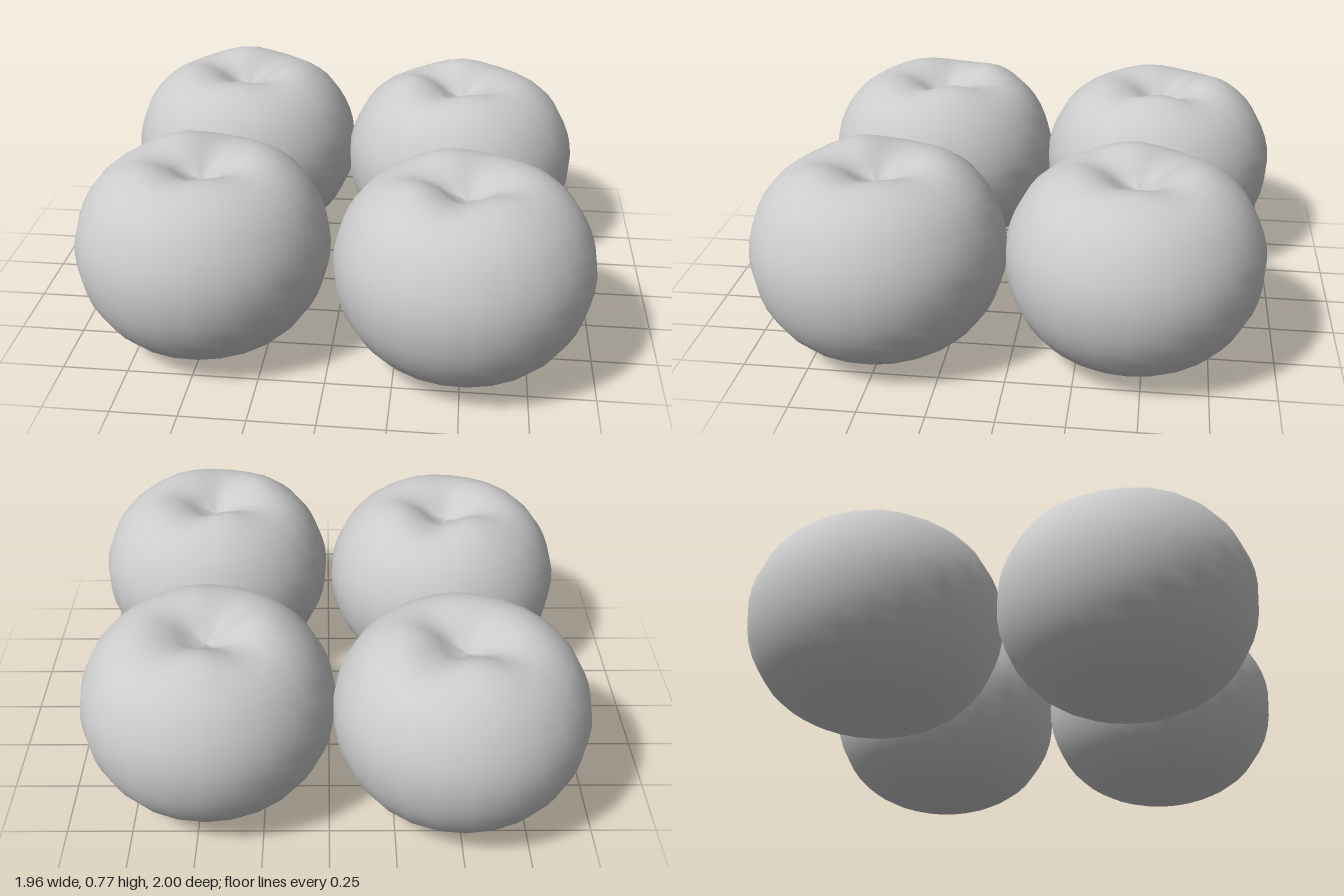
import * as THREE from 'three';
import { mergeVertices } from 'three/addons/utils/BufferGeometryUtils.js';

// Squat round fruit: a lathed profile with a top dimple and a softly lobed rim.
function fruitGeometry() {
  const profile = new THREE.SplineCurve([
    [0, 0.005], [0.12, 0.008], [0.25, 0.045], [0.37, 0.125], [0.455, 0.255],
    [0.486, 0.4], [0.468, 0.53], [0.405, 0.652], [0.315, 0.73], [0.22, 0.757],
    [0.13, 0.737], [0.06, 0.695], [0, 0.675],
  ].map(([r, y]) => new THREE.Vector2(r, y)));
  const points = profile.getPoints(30);
  points.forEach((p) => { p.x = Math.max(p.x, 0); });
  points[0].x = points[points.length - 1].x = 0;

  let geometry = new THREE.LatheGeometry(points, 24);
  const pos = geometry.attributes.position;
  for (let i = 0; i < pos.count; i++) {
    const x = pos.getX(i), y = pos.getY(i), z = pos.getZ(i);
    const r = Math.hypot(x, z);
    const a = Math.atan2(z, x);
    // Lobes are strongest around the rim and fade toward the sides and centre
    const top = THREE.MathUtils.smoothstep(y, 0.5, 0.72);
    const rim = top * Math.exp(-(((r - 0.2) / 0.12) ** 2));
    const lift = 0.013 * Math.cos(4 * a + 0.4) + 0.009 * Math.cos(3 * a - 0.8);
    pos.setY(i, y + rim * lift);
  }
  // Weld the seam so the shading is continuous
  geometry.deleteAttribute('uv');
  geometry.deleteAttribute('normal');
  geometry = mergeVertices(geometry, 1e-4);
  geometry.computeVertexNormals();
  return geometry;
}

export function createModel() {
  const group = new THREE.Group();
  group.name = 'fruitCluster';
  const material = new THREE.MeshStandardMaterial({ color: 0xcccccc });
  const geometry = fruitGeometry();

  // Name, x, z and turn of each fruit
  const fruits = [
    ['backRightFruit', -0.498, -0.515, 0],
    ['backLeftFruit', 0.458, -0.455, Math.PI / 2],
    ['frontRightFruit', -0.498, 0.445, 0.35],
    ['frontLeftFruit', 0.495, 0.51, Math.PI / 2 + 0.35],
  ];
  for (const [name, x, z, turn] of fruits) {
    const fruit = new THREE.Mesh(geometry, material);
    fruit.name = name;
    fruit.position.set(x, 0, z);
    fruit.rotation.y = turn;
    group.add(fruit);
  }
  return group;
}
